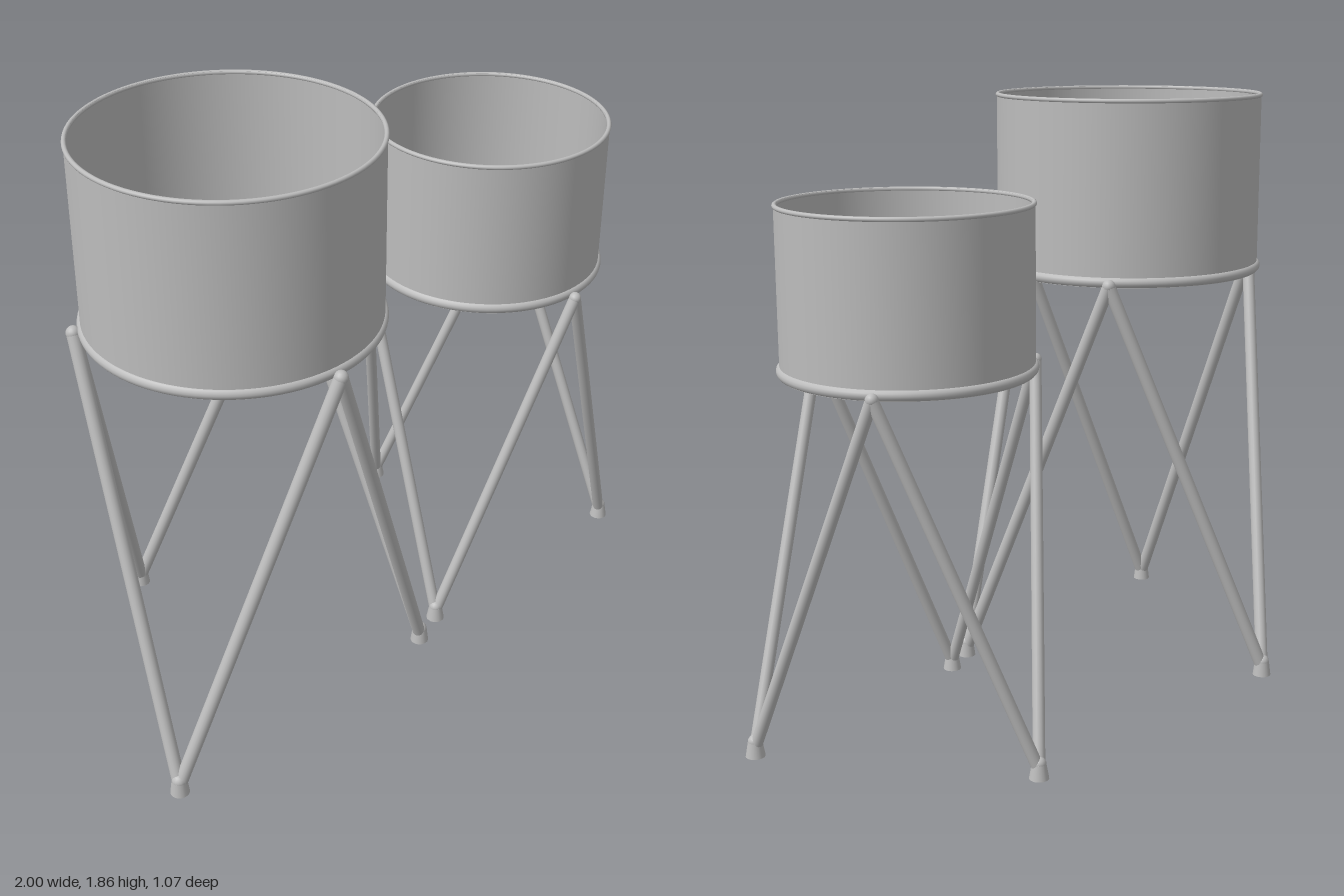
import * as THREE from 'three';

const metal = new THREE.MeshStandardMaterial({ color: 0xbcbcbc });
metal.name = 'grey metal';

function add(parent, name, geometry, x = 0, y = 0, z = 0) {
  const mesh = new THREE.Mesh(geometry, metal);
  mesh.name = name;
  mesh.position.set(x, y, z);
  parent.add(mesh);
  return mesh;
}

// Round rod between two points
function addRod(parent, name, a, b, radius) {
  const rod = add(parent, name, new THREE.CylinderGeometry(radius, radius, a.distanceTo(b), 16));
  rod.position.copy(a).lerp(b, 0.5);
  rod.quaternion.setFromUnitVectors(new THREE.Vector3(0, 1, 0), b.clone().sub(a).normalize());
}

function polar(radius, y, degrees) {
  const a = THREE.MathUtils.degToRad(degrees);
  return new THREE.Vector3(Math.sin(a) * radius, y, Math.cos(a) * radius);
}

function createPlanter({ name, radius, base, top, footRadius, jointRadius, rod }) {
  const planter = new THREE.Group();
  planter.name = name;

  // Thin pot walls, outside and inside
  const wall = 0.008;
  const height = top - base;
  const inner = radius - wall;
  const mid = base + height / 2;
  add(planter, 'potOuterWall', new THREE.CylinderGeometry(radius, radius, height, 96, 1, true), 0, mid, 0);
  const lining = new THREE.LatheGeometry(
    [new THREE.Vector2(inner, top), new THREE.Vector2(inner, base + wall)], 96);
  add(planter, 'potInnerWall', lining);
  add(planter, 'potFloor', new THREE.CylinderGeometry(radius, radius, wall, 96), 0, base + wall / 2, 0);

  // Rolled rim and supporting hoop
  const rim = new THREE.TorusGeometry(radius - 0.003, 0.007, 10, 96).rotateX(Math.PI / 2);
  add(planter, 'rim', rim, 0, top - 0.005, 0);
  const hoop = new THREE.TorusGeometry(radius - 0.007, 0.017, 14, 96).rotateX(Math.PI / 2);
  add(planter, 'supportHoop', hoop, 0, base + 0.016, 0);

  // Three feet, each joined by two rods to the neighbouring hoop joints
  for (const angle of [60, 180, 300]) {
    const foot = polar(footRadius, 0.025, angle);
    add(planter, 'foot', new THREE.CylinderGeometry(rod + 0.003, 0.029, 0.045, 20), foot.x, 0.0225, foot.z);
    add(planter, 'footKnuckle', new THREE.SphereGeometry(rod + 0.003, 16, 10), foot.x, 0.045, foot.z);
    for (const side of [-60, 60]) {
      addRod(planter, 'legRod', foot, polar(jointRadius, base + 0.008, angle + side), rod);
    }
    const joint = polar(jointRadius, base + 0.008, angle + 60);
    add(planter, 'hoopJoint', new THREE.SphereGeometry(rod + 0.001, 16, 10), joint.x, joint.y, joint.z);
  }
  return planter;
}

export function createModel() {
  const model = new THREE.Group();
  model.name = 'planterPair';

  const tall = createPlanter({
    name: 'tallPlanter', radius: 0.425, base: 1.288, top: 1.855,
    footRadius: 0.57, jointRadius: 0.446, rod: 0.02,
  });
  tall.position.set(-0.48, 0, 0.06);

  const short = createPlanter({
    name: 'shortPlanter', radius: 0.364, base: 1.11, top: 1.597,
    footRadius: 0.485, jointRadius: 0.385, rod: 0.018,
  });
  short.position.set(0.55, 0, 0.06);

  model.add(tall, short);
  return model;
}
